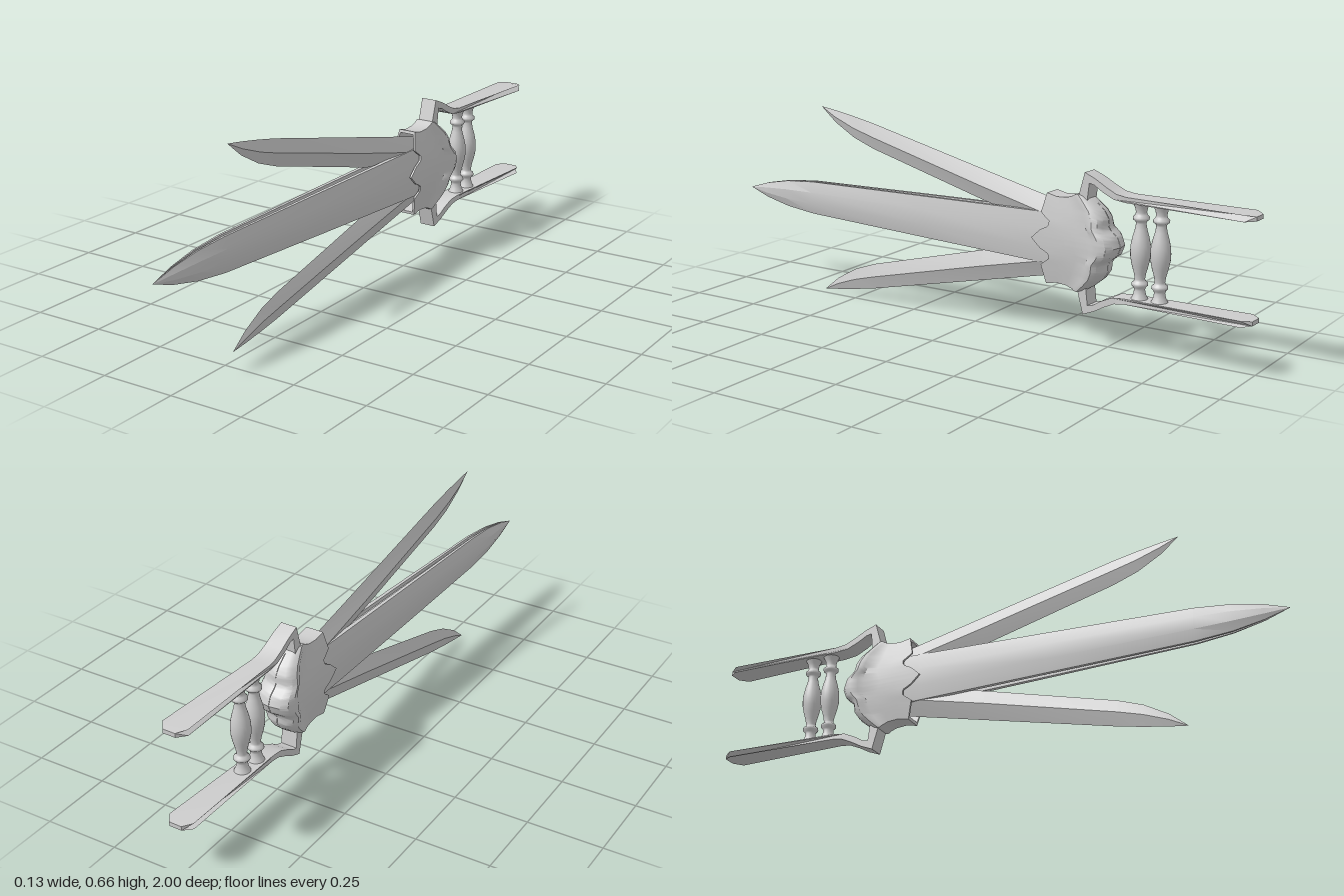
import * as THREE from 'three';
import { toCreasedNormals } from 'three/addons/utils/BufferGeometryUtils.js';

const steel = new THREE.MeshStandardMaterial({ color: 0xcccccc, side: THREE.DoubleSide });
steel.name = 'steel';

// Skin over closed rings of points; quads between neighbours
function loft(rings, crease) {
  const n = rings[0].length, index = [];
  for (let i = 0; i < rings.length - 1; i++)
    for (let j = 0; j < n; j++) {
      const k = (j + 1) % n, a = i * n + j, b = i * n + k, c = b + n, d = a + n;
      index.push(a, b, c, a, c, d);
    }
  const g = new THREE.BufferGeometry();
  g.setAttribute('position', new THREE.Float32BufferAttribute(rings.flat(2), 3));
  g.setIndex(index);
  return toCreasedNormals(g, crease);
}

// Piecewise linear lookup in [key, value] pairs
function lookup(table, key) {
  for (let i = 1; i < table.length; i++) {
    const [k0, v0] = table[i - 1], [k1, v1] = table[i];
    if (key <= k1) return v0 + (v1 - v0) * Math.max(0, (key - k0) / (k1 - k0));
  }
  return table[table.length - 1][1];
}

// Main blade: flat-ridged section with a slot along both edges
function mainBladeGeometry() {
  const stations = [ // z, half height, half thickness at ridge, at edge
    [-0.42, 0.086, 0.033, 0.026], [-0.25, 0.083, 0.032, 0.025], [0.2, 0.071, 0.029, 0.02],
    [0.7, 0.057, 0.024, 0.013], [0.82, 0.046, 0.02, 0.009], [0.92, 0.026, 0.012, 0.005],
    [1, 0.0006, 0.0005, 0.0003],
  ];
  return loft(stations.map(([z, h, t, e]) => {
    const f = h * 0.36, s = e * 0.4, d = h * 0.82;
    const half = [[t, f], [e, h], [s, h], [s, d], [-s, d], [-s, h], [-e, h], [-t, f]];
    return [...half, ...half.map(([x, y]) => [-x, -y])].map(([x, y]) => [x, y, z]);
  }), 0.3);
}

// Side blade: diamond section between an upper and a lower edge
function sideBladeGeometry(side) {
  const stations = [ // z, outer edge, inner edge, half thickness
    [-0.38, 0.105, 0.0, 0.024], [-0.02, 0.187, 0.084, 0.02], [0.436, 0.291, 0.203, 0.014],
    [0.52, 0.307, 0.233, 0.011], [0.6, 0.32, 0.278, 0.007], [0.66, 0.328, 0.327, 0.0005],
  ];
  return loft(stations.map(([z, o, i, t]) => {
    const top = side > 0 ? o : -i, bottom = side > 0 ? i : -o, mid = (o + i) / 2 * side;
    return [[t, mid, z], [0, top, z], [-t, mid, z], [0, bottom, z]];
  }), 0.2);
}

// Guard: hollow lens-shaped shell with a notched front and a scalloped, swollen back
function guardGeometry() {
  const front = [[0, -0.238], [0.03, -0.27], [0.045, -0.3], [0.062, -0.302], [0.085, -0.27],
    [0.11, -0.276], [0.15, -0.285]];
  const back = [[0, -0.537], [0.03, -0.525], [0.05, -0.5], [0.06, -0.494], [0.085, -0.494],
    [0.11, -0.478], [0.135, -0.448], [0.16, -0.415]];
  const rows = [ // front-to-back, half height, half thickness at ends, at middle
    [0.6, 0.12, 0.022, 0.04], [0.3, 0.13, 0.024, 0.04], [0, 0.138, 0.026, 0.042],
    [0, 0.148, 0.031, 0.049], [0.25, 0.14, 0.031, 0.048], [0.5, 0.143, 0.031, 0.048],
    [0.7, 0.152, 0.031, 0.05], [0.76, 0.156, 0.032, 0.06], [0.85, 0.158, 0.032, 0.066],
    [0.93, 0.153, 0.027, 0.058], [0.98, 0.146, 0.018, 0.038], [1, 0.14, 0.0005, 0.0005],
  ];
  const steps = 48;
  return loft(rows.map(([s, h, tEnd, tMid]) => {
    const ring = [];
    for (const side of [1, -1])
      for (let i = 0; i <= steps; i++) {
        const v = side * (1 - 2 * i / steps), y = v * h;
        const x = tEnd + (tMid - tEnd) * Math.cos(v * Math.PI / 2);
        const f = lookup(front, Math.abs(y)), b = lookup(back, Math.abs(y));
        ring.push([side * x, y, f + (b - f) * s]);
      }
    return ring;
  }), 0.6);
}

// Handle bar: bent strip that widens towards the rear and has a chamfered end
function handleBarGeometry() {
  const outline = [[0.395, 0.14], [0.42, 0.229], [0.46, 0.213], [0.5, 0.191], [0.535, 0.175],
    [0.57, 0.17], [0.97, 0.17], [1, 0.166], [1, 0.152], [0.97, 0.15], [0.57, 0.152],
    [0.525, 0.157], [0.485, 0.175], [0.455, 0.193], [0.437, 0.197], [0.43, 0.14]];
  const shape = new THREE.Shape(outline.map(([a, y]) => new THREE.Vector2(a, y)));
  const g = new THREE.ExtrudeGeometry(shape, { depth: 2, bevelEnabled: false });
  g.translate(0, 0, -1).rotateY(Math.PI / 2);
  const p = g.attributes.position;
  for (let i = 0; i < p.count; i++) {
    const a = -p.getZ(i);
    const w = a > 0.98 ? 0.022 : 0.028 + (a - 0.42) * 0.03;
    p.setX(i, p.getX(i) * w);
  }
  return toCreasedNormals(g, 0.5);
}

// Turned grip post, mirrored about its middle
function gripGeometry() {
  const half = [[0.032, 0], [0.031, 0.02], [0.026, 0.045], [0.019, 0.07], [0.016, 0.088],
    [0.018, 0.095], [0.025, 0.1], [0.026, 0.108], [0.019, 0.115], [0.017, 0.123],
    [0.02, 0.138], [0.028, 0.155]];
  const lower = half.slice(1).reverse().map(([r, y]) => [r, -y]);
  return new THREE.LatheGeometry([...lower, ...half].map(([r, y]) => new THREE.Vector2(r, y)), 24);
}

export function createModel() {
  const model = new THREE.Group();
  model.name = 'punchDagger';
  const body = new THREE.Group();
  body.name = 'dagger';
  model.add(body);
  const add = (name, geometry) => {
    const mesh = new THREE.Mesh(geometry, steel);
    mesh.name = name;
    body.add(mesh);
    return mesh;
  };

  add('mainBlade', mainBladeGeometry());
  add('upperSideBlade', sideBladeGeometry(1));
  add('lowerSideBlade', sideBladeGeometry(-1));
  add('guard', guardGeometry());
  add('upperHandleBar', handleBarGeometry());
  add('lowerHandleBar', handleBarGeometry()).rotation.z = Math.PI;
  add('frontGrip', gripGeometry()).position.z = -0.607;
  add('rearGrip', gripGeometry()).position.z = -0.677;

  // The whole weapon is turned slightly sideways
  body.rotation.y = -0.031;
  body.position.set(-0.019, 0.328, 0);
  return model;
}
